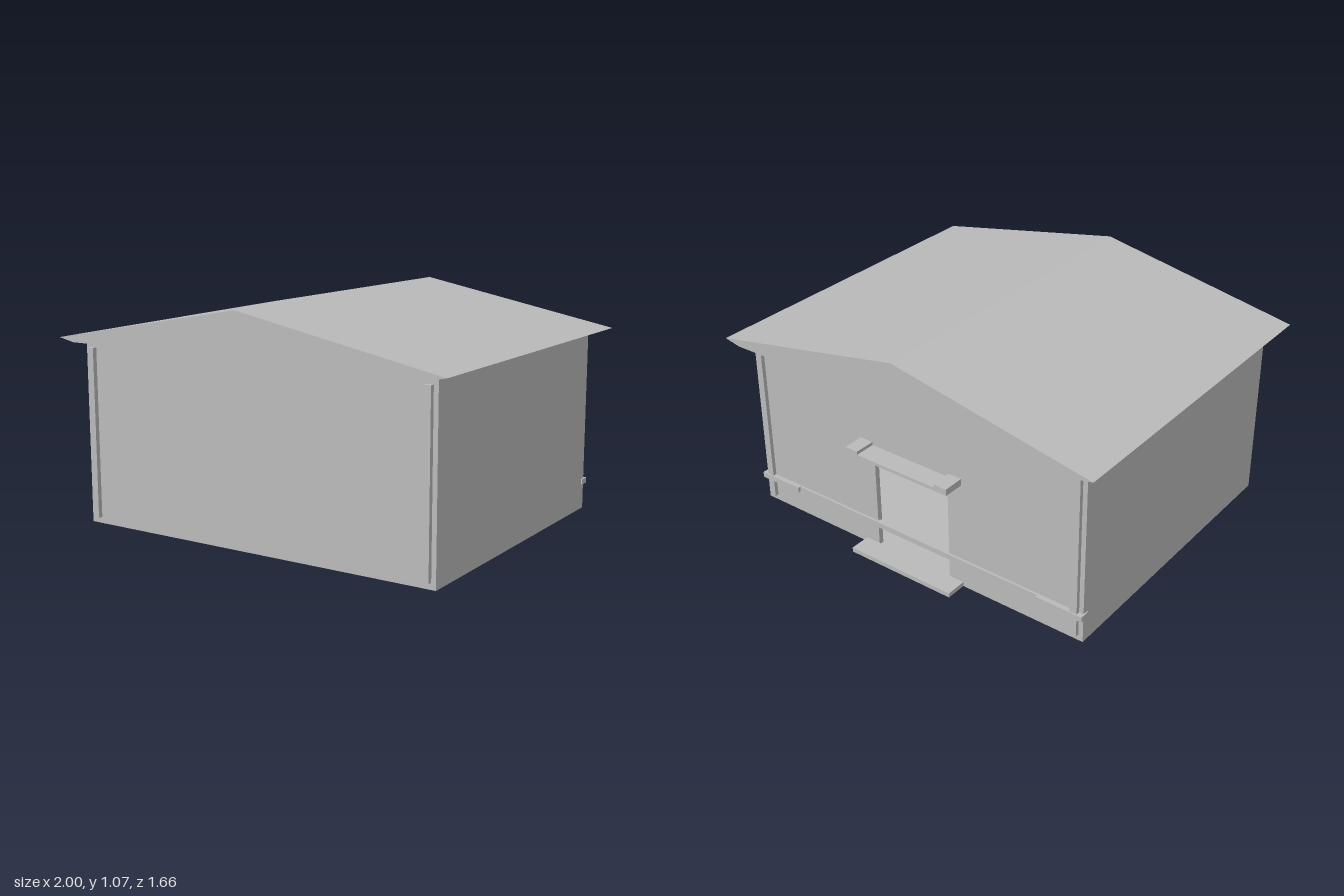
import * as THREE from 'three';

export function createModel() {
  const model = new THREE.Group();
  const grey = new THREE.MeshStandardMaterial({ color: 0xbababa });
  grey.name = 'plain grey';

  const add = (name, geometry) => {
    const mesh = new THREE.Mesh(geometry, grey);
    mesh.name = name;
    model.add(mesh);
    return mesh;
  };
  // Box given by its limits on each axis
  const box = (name, [x0, x1], [y0, y1], [z0, z1]) =>
    add(name, new THREE.BoxGeometry(x1 - x0, y1 - y0, z1 - z0))
      .position.set((x0 + x1) / 2, (y0 + y1) / 2, (z0 + z1) / 2);
  // Outline in x and y, extruded between two z limits
  const slab = (name, points, z0, z1) => {
    const shape = new THREE.Shape(points.map(([x, y]) => new THREE.Vector2(x, y)));
    const geometry = new THREE.ExtrudeGeometry(shape, { depth: z1 - z0, bevelEnabled: false });
    add(name, geometry.translate(0, 0, z0));
  };

  const W = 0.917, H = 0.86, FRONT = 0.742, BACK = -0.729, T = 0.025;

  // Hollow room
  box('floor', [-W, W], [0, 0.015], [BACK, FRONT]);
  box('frontWall', [-W, W], [0.015, H], [FRONT - T, FRONT]);
  for (const s of [-1, 1]) {
    const xs = s < 0 ? [-W, -W + T] : [W - T, W];
    box('sideWall', xs, [0.015, H], [BACK + T, FRONT - T]);
  }

  // Back wall with an open doorway
  const D = 0.207, doorTop = 0.515;
  slab('backWall', [
    [-W, 0.015], [-D, 0.015], [-D, doorTop], [D, doorTop],
    [D, 0.015], [W, 0.015], [W, H], [-W, H],
  ], BACK, BACK + T);

  // Solid gable roof with narrow sloping soffits
  slab('roof', [[-W, H], [W, H], [1, 0.877], [0, 1.067], [-1, 0.877]], -0.822, 0.83);

  for (const s of [-1, 1]) {
    const span = (a, b) => (s < 0 ? [-b, -a] : [a, b]);
    // Corner pilasters
    box('frontPilaster', span(0.86, 0.895), [0.03, 0.83], [FRONT, 0.764]);
    box('backPilaster', span(0.86, 0.895), [0.03, 0.83], [-0.748, BACK]);
    // Thick rail ends wrapping the back corners
    box('railEnd', span(0.69, 0.923), [0.12, 0.147], [-0.753, -0.702]);
    // Raised blocks on the door canopy
    box('canopyBlock', span(0.215, 0.283), [0.533, 0.565], [-0.83, BACK]);
  }

  // Rail crossing the back wall, door canopy and doorstep
  box('rail', [-0.69, 0.69], [0.12, 0.147], [-0.74, -0.715]);
  box('canopy', [-0.215, 0.215], [0.533, 0.549], [-0.83, BACK]);
  box('doorstep', [-0.283, 0.283], [0, 0.022], [-0.83, BACK]);

  return model;
}
